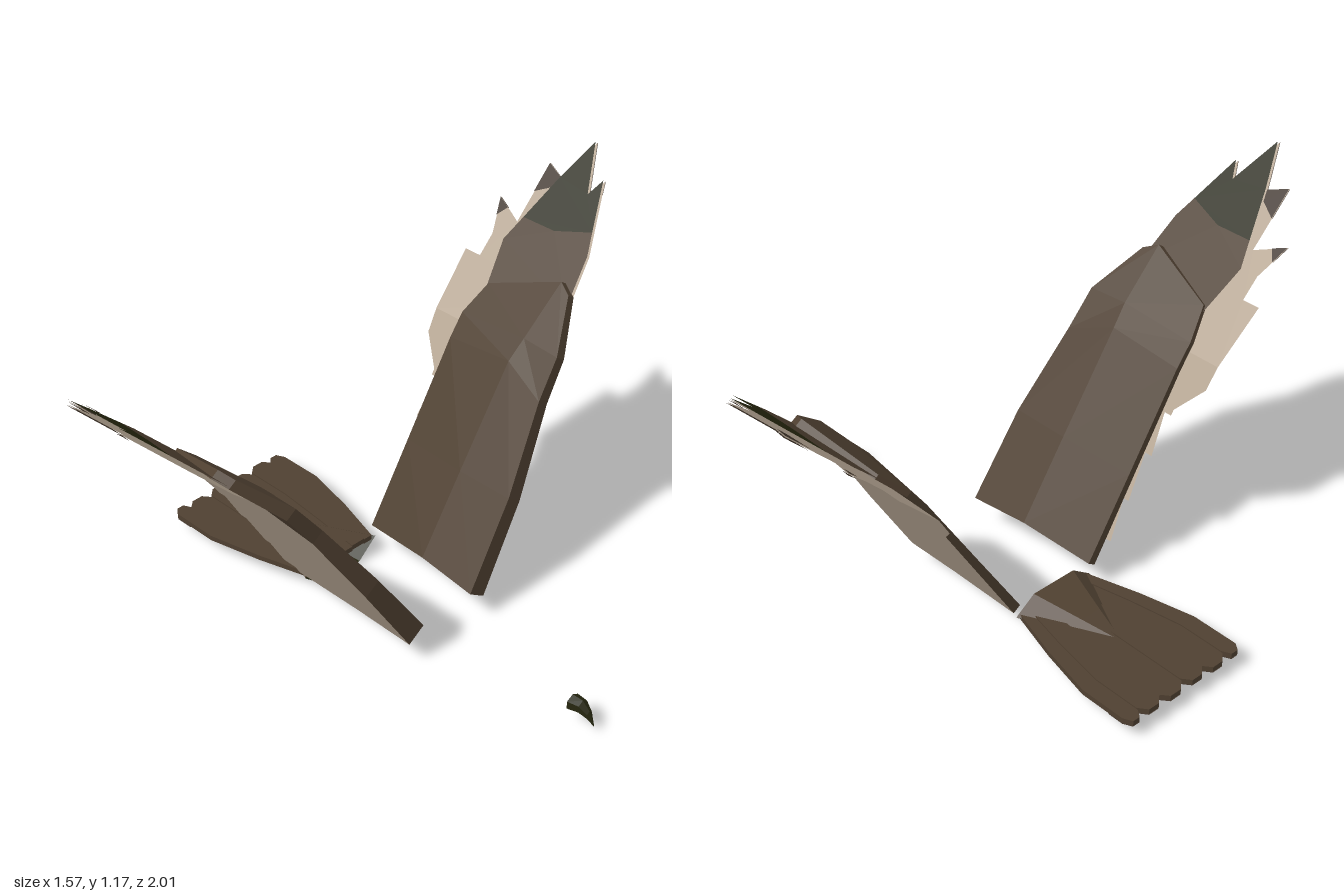
import * as THREE from 'three';

const mat = (name, color) => new THREE.MeshStandardMaterial({ name, color, side: THREE.DoubleSide });
const V = (x, y, z) => new THREE.Vector3(x, y, z);
const quad = (a, b, c, d) => [a, b, c, a, c, d];

// Flat-faced mesh from a list of triangle corners
function facets(name, material, pts, flip = false) {
  const list = pts.slice();
  if (flip) for (let i = 0; i < list.length; i += 3) [list[i + 1], list[i + 2]] = [list[i + 2], list[i + 1]];
  const geo = new THREE.BufferGeometry().setFromPoints(list);
  geo.computeVertexNormals();
  const mesh = new THREE.Mesh(geo, material);
  mesh.name = name;
  return mesh;
}

// Thin sheet: a flat outline [x, z] lifted into space by a rule, facing up
function sheetPoints(outline, place) {
  const pts = outline.map(([x, z]) => new THREE.Vector2(x, z));
  if (!THREE.ShapeUtils.isClockWise(pts)) pts.reverse();
  return THREE.ShapeUtils.triangulateShape(pts, []).flat().map(i => place(pts[i].x, pts[i].y));
}

// Height of the wing's lower face, bending upward less steeply past the wrist
const wingY = z => (z < 0.53 ? 0.085 + (z - 0.16) * 1.635 : 0.69 + (z - 0.53) * 1.02);

// Wing arm rows: [x, z, thickness] at leading edge, middle, trailing edge
const ROWS = [
  [[0.21, 0.158, 0.07], [0, 0.168, 0.07], [-0.25, 0.165, 0.03]],
  [[0.198, 0.32, 0.06], [0, 0.32, 0.06], [-0.25, 0.32, 0.025]],
  [[0.155, 0.475, 0.045], [0, 0.51, 0.045], [-0.25, 0.5, 0.02]],
  [[0.145, 0.555, 0.04], [0.01, 0.56, 0.04], [-0.25, 0.55, 0.018]],
  [[0.066, 0.68, 0.03], [0.02, 0.7, 0.03], [-0.22, 0.63, 0.015]],
];

const ARM_FEATHERS = [[0, 0.53], [-0.36, 0.53], [-0.355, 0.49], [-0.28, 0.44], [-0.28, 0.43], [-0.255, 0.43],
  [-0.275, 0.36], [-0.25, 0.36], [-0.265, 0.28], [-0.245, 0.28], [-0.265, 0.21], [0, 0.205]];
const HAND_FEATHERS = [[0, 0.53], [-0.36, 0.53], [-0.375, 0.675], [-0.315, 0.675], [-0.315, 0.73], [-0.355, 0.81],
  [-0.255, 0.775], [-0.255, 0.92], [-0.19, 0.9], [-0.14, 1], [-0.07, 0.89], [-0.045, 0.93], [0.04, 0.77], [0.066, 0.66]];
const HAND_TOP = [[0.066, 0.65], [0.04, 0.77], [0.013, 0.82], [-0.11, 0.79], [-0.235, 0.79], [-0.26, 0.73], [-0.22, 0.6], [0, 0.6]];
const HAND_TIP = [[0.013, 0.82], [-0.045, 0.93], [-0.07, 0.89], [-0.14, 1], [-0.19, 0.9], [-0.235, 0.79], [-0.11, 0.79]];
const UNDER_TIP = [[-0.03, 0.9], [-0.045, 0.93], [-0.07, 0.89], [-0.14, 1], [-0.19, 0.9], [-0.19, 0.87]];
const SIDE_TIPS = [
  [[-0.255, 0.85], [-0.255, 0.92], [-0.19, 0.9], [-0.2, 0.875]],
  [[-0.335, 0.77], [-0.355, 0.81], [-0.31, 0.795]],
];

function makeWing(name, side, m) {
  const wing = new THREE.Group();
  wing.name = name;
  const flip = side < 0;
  const lift = (x, z, t) => V(x, wingY(z) + 0.56 * t, side * (z - 0.83 * t));
  const add = (part, material, pts) => wing.add(facets(part, material, pts, flip));

  // Thick arm with brown top and edges, pale underside
  const bot = ROWS.map(r => r.map(([x, z]) => lift(x, z, 0)));
  const top = ROWS.map(r => r.map(([x, z, t]) => lift(x, z, t)));
  const brown = [], pale = [], patch = [];
  const last = ROWS.length - 1;
  for (let i = 0; i < last; i++) {
    for (let j = 0; j < 2; j++) {
      brown.push(...quad(top[i][j], top[i][j + 1], top[i + 1][j + 1], top[i + 1][j]));
      (i < 2 ? pale : patch).push(...quad(bot[i][j], bot[i + 1][j], bot[i + 1][j + 1], bot[i][j + 1]));
    }
    brown.push(...quad(bot[i][0], top[i][0], top[i + 1][0], bot[i + 1][0]));
    brown.push(...quad(bot[i][2], bot[i + 1][2], top[i + 1][2], top[i][2]));
  }
  for (let j = 0; j < 2; j++) {
    brown.push(...quad(bot[0][j], bot[0][j + 1], top[0][j + 1], top[0][j]));
    brown.push(...quad(bot[last][j], top[last][j], top[last][j + 1], bot[last][j + 1]));
  }
  add('wingArm', m.brown, brown);
  add('wingArmUnderside', m.pale, pale);
  add('wristPatch', m.brown, patch);

  // Feather sheets
  const sheet = (part, material, outline, t) =>
    add(part, material, sheetPoints(outline, (x, z) => lift(x, z, t)));
  sheet('armFeathers', m.pale, ARM_FEATHERS, -0.006);
  sheet('handFeathers', m.pale, HAND_FEATHERS, -0.006);
  sheet('handTop', m.brown, HAND_TOP, 0.006);
  sheet('handTip', m.olive, HAND_TIP, 0.006);
  sheet('handTipUnderside', m.umber, UNDER_TIP, -0.009);
  for (const tip of SIDE_TIPS) for (const t of [-0.009, -0.003]) sheet('featherTip', m.umber, tip, t);
  return wing;
}

// Loft between rings of equal length
function loft(rings) {
  const pts = [];
  for (let i = 0; i < rings.length - 1; i++)
    rings[i].forEach((p, j) => {
      const k = (j + 1) % rings[i].length;
      pts.push(...quad(p, rings[i][k], rings[i + 1][k], rings[i + 1][j]));
    });
  return pts;
}

function makeTail(m) {
  const tail = new THREE.Group();
  tail.name = 'tail';

  // Rump: six-sided cone running back into the feathers
  const hex = [[0.08, 0.115], [0.15, 0.065], [0.08, 0.003], [-0.08, 0.003], [-0.15, 0.065], [-0.08, 0.115]];
  const ring = (x, s, yc) => hex.map(([z, y]) => V(x, yc + (y - 0.06) * s, z * s));
  const rings = [ring(-0.245, 1, 0.06), ring(-0.4, 0.45, 0.064), ring(-0.52, 0.04, 0.067)];
  const skin = loft(rings);
  const isLow = i => i % 36 >= 6 && i % 36 < 24;
  tail.add(facets('rumpTop', m.brown, skin.filter((p, i) => !isLow(i))));
  tail.add(facets('rumpUnderside', m.olive, skin.filter((p, i) => isLow(i))));

  // Six overlapping feathers, brown above, pale below with dark tips
  const edges = [-0.23, -0.175, -0.09, 0, 0.085, 0.17, 0.225];
  const spread = [[-0.25, 0.6], [-0.42, 0.82], [-0.6, 1], [-0.7, 1]];
  for (let i = 0; i < 6; i++) {
    const a = edges[i], b = edges[i + 1], w = b - a;
    const end = [[-0.755, a], [-0.783, a + w * 0.25], [-0.783, a + w * 0.7], [-0.76, b]];
    const rows = spread.map(([x, s]) => [[x, a * s], [x, b * s]]);
    const sideA = rows.map(r => r[0]), sideB = rows.map(r => r[1]).reverse();
    const outline = [...sideA, ...end, ...sideB];
    const step = (i % 2) * 0.004;
    const upper = (x, z) => V(x, 0.072 + step, z), lower = (x, z) => V(x, 0.055 + step, z);
    tail.add(facets('tailFeather', m.brown, sheetPoints(outline, upper)));
    tail.add(facets('tailFeatherUnderside', m.pale, sheetPoints(outline, lower), true));
    const rim = outline.flatMap(([x, z], k) => {
      const [x2, z2] = outline[(k + 1) % outline.length];
      return quad(lower(x, z), upper(x, z), upper(x2, z2), lower(x2, z2));
    });
    tail.add(facets('tailFeatherRim', m.brown, rim, true));
    const tip = [rows[3][0], ...end, rows[3][1]];
    tail.add(facets('tailFeatherTip', m.umber, sheetPoints(tip, (x, z) => V(x, 0.052 + step, z)), true));
  }
  return tail;
}

// Small hooked beak
function makeBeak(m) {
  const rings = [[0.7, 0.076, 0.026, 0.027], [0.738, 0.08, 0.022, 0.021], [0.764, 0.064, 0.014, 0.012], [0.783, 0.035, 0.001, 0.001]]
    .map(([x, y, ry, rz]) => Array.from({ length: 6 }, (_, k) => {
      const a = (k + 0.5) * Math.PI / 3;
      return V(x, y + ry * Math.sin(a), rz * Math.cos(a));
    }));
  return facets('beak', m.olive, loft(rings), true);
}

export function createModel() {
  const m = {
    brown: mat('brown', 0x4f4031),
    pale: mat('paleTan', 0xb5a592),
    olive: mat('darkOlive', 0x25260f),
    umber: mat('darkUmber', 0x40342a),
  };
  const model = new THREE.Group();
  model.name = 'bird';
  model.add(makeWing('nearWing', 1, m), makeWing('farWing', -1, m), makeTail(m), makeBeak(m));
  return model;
}
